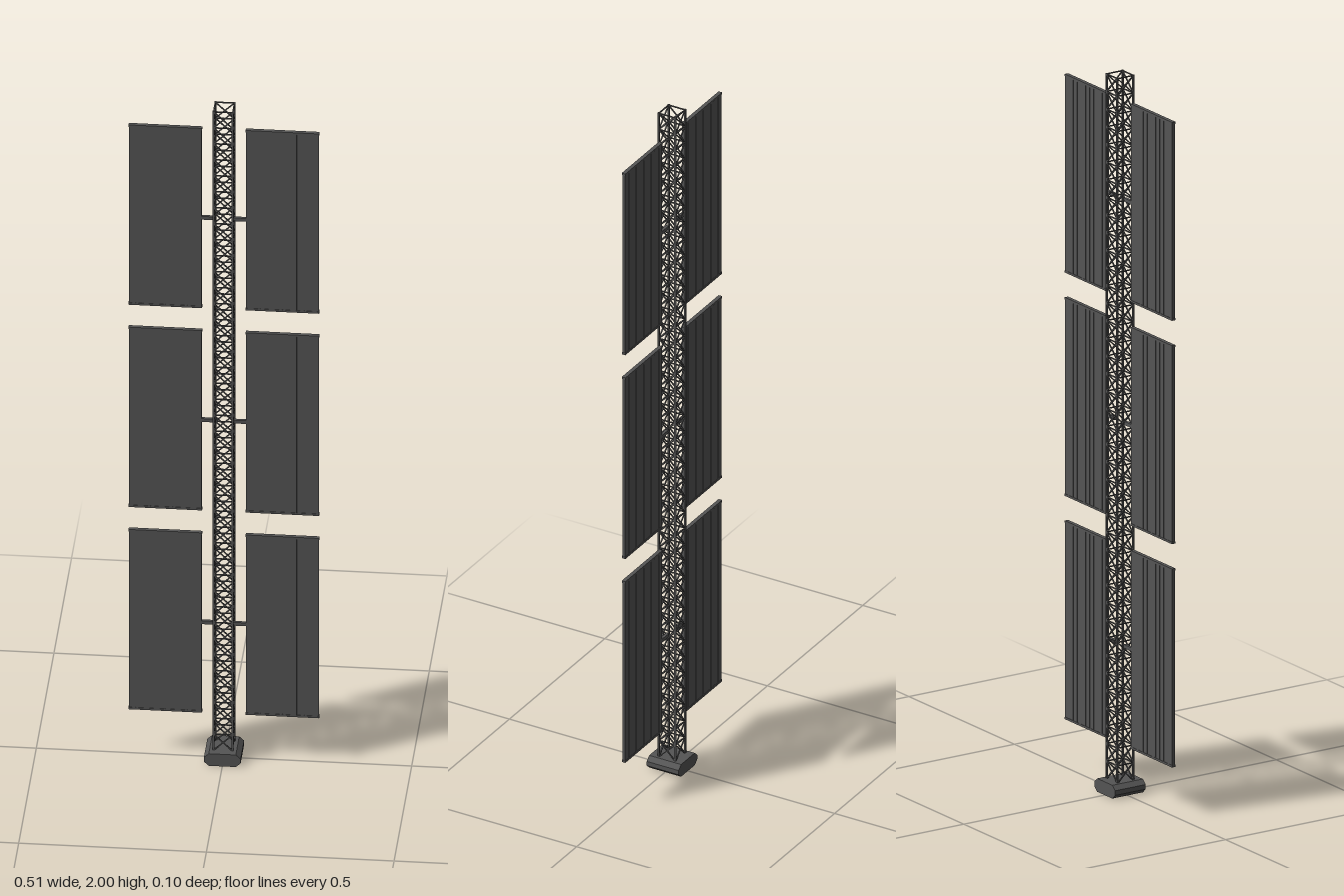
import * as THREE from 'three';
import { mergeGeometries } from 'three/addons/utils/BufferGeometryUtils.js';

const material = new THREE.MeshStandardMaterial({ color: 0x555555, flatShading: true });
const UP = new THREE.Vector3(0, 1, 0);

function box(w, h, d, x, y, z) {
  return new THREE.BoxGeometry(w, h, d).translate(x, y, z);
}

// Square bar between two points
function bar(a, b, t) {
  const dir = b.clone().sub(a);
  const g = new THREE.BoxGeometry(t, dir.length(), t);
  g.applyQuaternion(new THREE.Quaternion().setFromUnitVectors(UP, dir.normalize()));
  return g.translate((a.x + b.x) / 2, (a.y + b.y) / 2, (a.z + b.z) / 2);
}

function part(name, parts) {
  const mesh = new THREE.Mesh(mergeGeometries(parts), material);
  mesh.name = name;
  return mesh;
}

// Base block with chamfered long edges, running front to back
function base() {
  const s = new THREE.Shape([
    [-0.036, 0], [0.036, 0], [0.049, 0.012], [0.049, 0.025],
    [0.036, 0.037], [-0.036, 0.037], [-0.049, 0.025], [-0.049, 0.012],
  ].map(([x, y]) => new THREE.Vector2(x, y)));
  const g = new THREE.ExtrudeGeometry(s, { depth: 0.098, bevelEnabled: false });
  return part('base', [g.translate(0, 0, -0.049)]);
}

// Lattice mast: four chords, with a ring and crossed braces per bay
function mast() {
  const group = new THREE.Group();
  group.name = 'mast';
  const y0 = 0.035, top = 2, r = 0.0255, bays = 40;
  const step = (top - 0.002 - y0) / bays;
  const chords = [], rings = [], braces = [];
  const v = (x, y) => new THREE.Vector3(x, y, r);
  for (let side = 0; side < 4; side++) {
    const turn = (g) => g.rotateY(side * Math.PI / 2);
    chords.push(turn(box(0.005, top - y0, 0.005, r, (top + y0) / 2, r)));
    for (let i = 0; i <= bays; i++) {
      const y = y0 + i * step;
      rings.push(turn(box(2 * r, 0.003, 0.003, 0, y, r)));
      if (i === bays) continue;
      braces.push(turn(bar(v(-r, y), v(r, y + step), 0.003)));
      braces.push(turn(bar(v(r, y), v(-r, y + step), 0.003)));
    }
  }
  group.add(part('chords', chords), part('rings', rings), part('braces', braces));
  return group;
}

// Ribbed panel with edge rails and an arm reaching the mast
function panel(side, y) {
  const group = new THREE.Group();
  group.name = side > 0 ? 'leftPanel' : 'rightPanel';
  const w = 0.196, h = 0.553, slats = 10, pitch = w / slats;
  const cx = side * 0.156;
  const ribs = [box(w - 0.002, h - 0.004, 0.007, cx, y, 0)];
  for (let i = 0; i < slats; i++) {
    ribs.push(box(pitch - 0.002, h - 0.004, 0.009, cx - w / 2 + (i + 0.5) * pitch, y, 0));
  }
  const rails = [-1, 1].map((s) => box(w, 0.006, 0.011, cx, y + s * (h / 2 - 0.003), 0));
  group.add(part('slats', ribs), part('rails', rails));
  group.add(part('arm', [box(0.04, 0.01, 0.008, side * 0.043, y, 0)]));
  return group;
}

export function createModel() {
  const model = new THREE.Group();
  model.name = 'panelMast';
  model.add(base(), mast());
  for (const y of [0.413, 1.035, 1.657]) {
    for (const side of [-1, 1]) model.add(panel(side, y));
  }
  return model;
}
